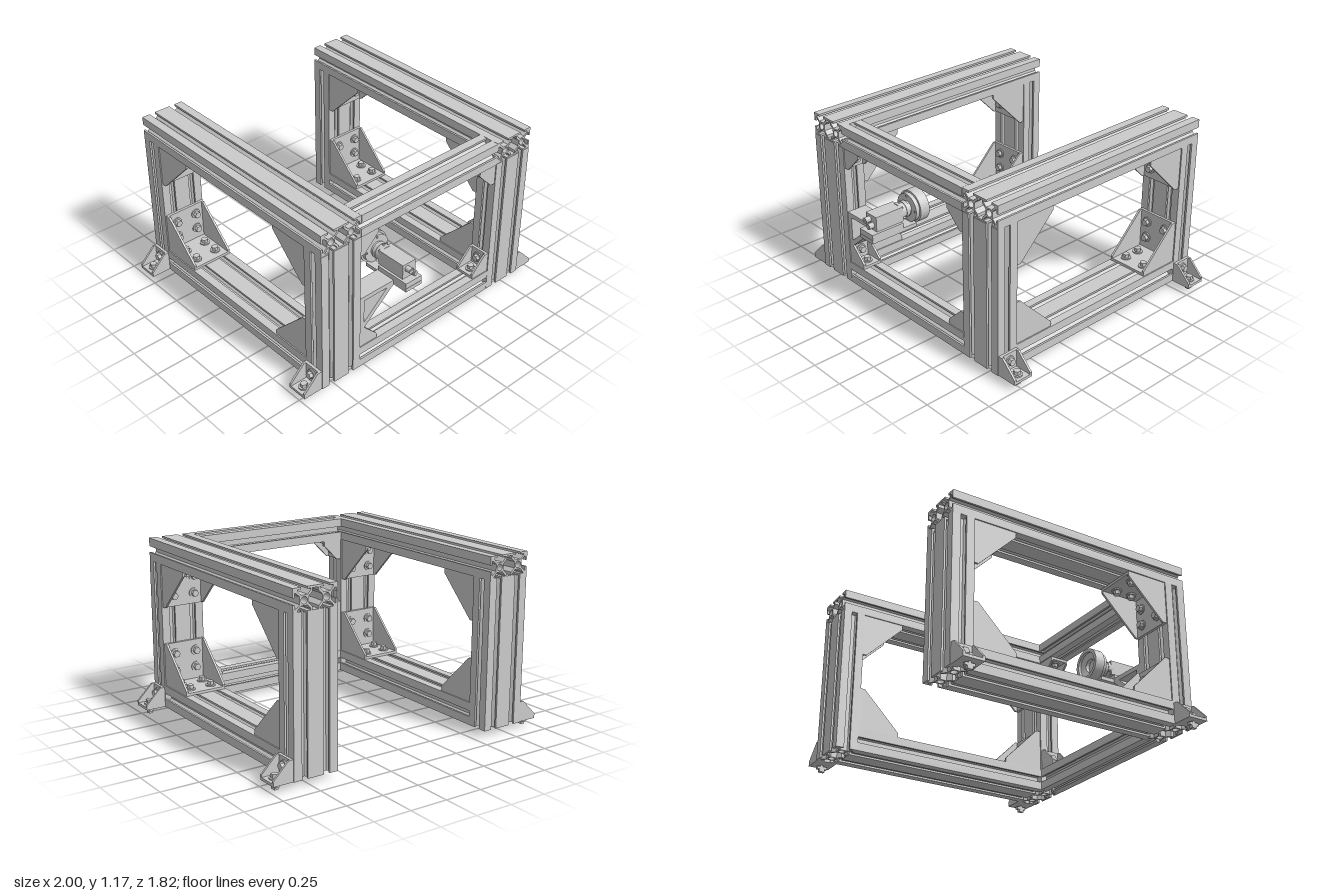
import * as THREE from 'three';
import { toCreasedNormals } from 'three/addons/utils/BufferGeometryUtils.js';

const grey = new THREE.MeshStandardMaterial({ color: 0xcccccc });
const M = 0.15; // profile module
const H = M / 2;

function mesh(parent, name, geometry, x = 0, y = 0, z = 0) {
  const m = new THREE.Mesh(geometry, grey);
  m.name = name;
  m.position.set(x, y, z);
  parent.add(m);
  return m;
}

const polygon = (pts) => new THREE.Shape(pts.map(([x, y]) => new THREE.Vector2(x, y)));
const crease = (g) => toCreasedNormals(g.index ? g.toNonIndexed() : g, 0.6);
const cyl = (r, h, sides = 24) => crease(new THREE.CylinderGeometry(r, r, h, sides));

// extrusion centred along z
function extrude(shape, depth) {
  const g = new THREE.ExtrudeGeometry(shape, { depth, bevelEnabled: false, curveSegments: 6 });
  g.translate(0, 0, -depth / 2);
  return crease(g);
}

// T-slot profile, n modules wide in x
const half = [[0.02, H], [0.02, 0.062], [0.045, 0.062], [0.045, 0.055], [0.022, 0.03]];
const slot = [...half, ...half.map(([x, y]) => [-x, y]).reverse()];
function profile(n, length) {
  const hw = n * H;
  const centres = Array.from({ length: n }, (_, i) => (i - (n - 1) / 2) * M);
  const side = (cx, a) => slot.map(([x, y]) => [
    cx + x * Math.cos(a) - y * Math.sin(a), x * Math.sin(a) + y * Math.cos(a)]);
  const pts = [
    ...side(centres[n - 1], -Math.PI / 2), [hw, H],
    ...[...centres].reverse().flatMap((c) => side(c, 0)), [-hw, H],
    ...side(centres[0], Math.PI / 2), [-hw, -H],
    ...centres.flatMap((c) => side(c, Math.PI)), [hw, -H],
  ];
  const shape = polygon(pts);
  for (const c of centres) shape.holes.push(new THREE.Path().absarc(c, 0, 0.022, 0, Math.PI * 2, true));
  if (n === 2) {
    // cavity between the two cores
    const q = [[0.045, 0.02], [0.02, 0.043], [0.02, 0.062]];
    const top = [...q, ...q.map(([x, y]) => [-x, y]).reverse()];
    shape.holes.push(polygon([...top, ...top.map(([x, y]) => [-x, -y])]));
  }
  return extrude(shape, length);
}

// washer and hexagon head, pointing up +y
function bolt(parent, x, y, z, rz = 0) {
  const g = new THREE.Group();
  g.name = 'bolt';
  g.position.set(x, y, z);
  g.rotation.z = rz;
  mesh(g, 'washer', cyl(0.033, 0.008), 0, 0.004, 0);
  mesh(g, 'boltHead', cyl(0.023, 0.024, 6), 0, 0.02, 0);
  parent.add(g);
}

// corner bracket: legs on +x and +y, two triangular cheeks
function bracket(parent, name, size, width, boltAt, boltZ, pos, ry, quarter) {
  const g = new THREE.Group();
  g.name = name;
  g.position.set(...pos);
  g.rotation.set(0, ry, quarter * Math.PI / 2);
  const t = 0.018, c = 0.032;
  mesh(g, 'floorLeg', new THREE.BoxGeometry(size, t, width), size / 2, t / 2, 0);
  mesh(g, 'wallLeg', new THREE.BoxGeometry(t, size, width), t / 2, size / 2, 0);
  const cheek = extrude(polygon([[0, 0], [size, 0], [size, c], [c, size], [0, size]]), 0.014);
  for (const s of [-1, 1]) mesh(g, 'cheek', cheek, 0, 0, s * (width / 2 - 0.007));
  for (const d of boltAt) for (const z of boltZ) {
    bolt(g, d, t, z);
    bolt(g, t, d, z, -Math.PI / 2);
  }
  parent.add(g);
}

function buildFrame(root) {
  const post = profile(2, 0.975), topBeam = profile(2, 1.71);
  const bottomBeam = profile(2, 1.415), cross = profile(1, 1.128);
  for (const s of [-1, 1]) {
    const x = s * 0.715;
    mesh(root, 'topBeam', topBeam, x, 1.092, -0.05);
    mesh(root, 'bottomBeam', bottomBeam, x, 0.12, -0.0475);
    for (const z of [0.733, -0.83]) {
      mesh(root, 'post', post, x, 0.5325, z).rotation.x = -Math.PI / 2;
      // foot with a hammer-head bolt underneath
      bracket(root, 'foot', 0.135, 0.138, [0.083], [0], [s * 0.865, 0.045, z], 0, s > 0 ? 0 : 1);
      mesh(root, 'footBoltShank', cyl(0.0125, 0.05), s * 0.948, 0.025, z);
      mesh(root, 'footBoltHead', new THREE.BoxGeometry(0.025, 0.018, 0.065), s * 0.948, 0.027, z);
      mesh(root, 'footBoltTip', new THREE.BoxGeometry(0.025, 0.018, 0.036), s * 0.948, 0.009, z);
    }
    // large brackets in the side frames
    const corners = [[-0.755, 0.195, 0], [0.658, 0.195, 1], [0.658, 1.017, 2], [-0.755, 1.017, 3]];
    for (const [z, y, q] of corners) {
      bracket(root, 'sideBracket', 0.287, 0.285, [0.1, 0.215], [-H, H], [x, y, z], -Math.PI / 2, q);
    }
  }
  // front cross beams and their brackets
  for (const y of [0.12, 1.092]) mesh(root, 'crossBeam', cross, 0, y, 0.733).rotation.y = Math.PI / 2;
  for (const [x, y, q] of [[-0.565, 0.195, 0], [0.565, 0.195, 1], [0.565, 1.017, 2], [-0.565, 1.017, 3]]) {
    bracket(root, 'frontBracket', 0.14, 0.138, [0.083], [0], [x, y, 0.733], 0, q);
  }
}

function buildSensor(root) {
  const g = new THREE.Group();
  g.name = 'sensorUnit';
  root.add(g);
  const cx = -0.228, cy = 0.65;

  // triangular support arm on the post
  const arm = polygon([[-0.565, 0.33], [-0.53, 0.33], [-0.29, 0.535], [-0.165, 0.535], [-0.165, 0.565], [-0.565, 0.565]]);
  arm.holes.push(polygon([[-0.53, 0.37], [-0.53, 0.535], [-0.345, 0.535]]));
  mesh(g, 'supportArm', extrude(arm, 0.14), 0, 0, 0.733);

  // cradle under the body
  mesh(g, 'cradle', new THREE.BoxGeometry(0.13, 0.025, 0.35), cx, 0.5475, 0.735);
  mesh(g, 'cradleBlock', new THREE.BoxGeometry(0.13, 0.06, 0.24), cx, 0.566, 0.788);

  // body with cable sockets
  mesh(g, 'body', new THREE.BoxGeometry(0.105, 0.1, 0.21), cx, cy, 0.76);
  for (const [dx, dy] of [[-0.018, 0.016], [0.014, -0.016]]) {
    mesh(g, 'socket', cyl(0.019, 0.04), cx + dx, cy + dy, 0.883).rotation.x = Math.PI / 2;
    mesh(g, 'plug', cyl(0.012, 0.045, 6), cx + dx, cy + dy, 0.883).rotation.x = Math.PI / 2;
  }

  // barrel and hollow ring light
  const outline = [[0, 0.545], [0.045, 0.545], [0.045, 0.52], [0.085, 0.505], [0.085, 0.488], [0.108, 0.488],
    [0.108, 0.558], [0.095, 0.558], [0.095, 0.585], [0.048, 0.585], [0.048, 0.6], [0.055, 0.6],
    [0.055, 0.625], [0.051, 0.625], [0.051, 0.632], [0.055, 0.632], [0.055, 0.67], [0, 0.67]];
  const lathe = new THREE.LatheGeometry(outline.map(([r, z]) => new THREE.Vector2(r, z)), 48);
  mesh(g, 'lensAndRing', crease(lathe), cx, cy, 0).rotation.x = Math.PI / 2;

  // lock screws round the barrel, screws on the ring
  for (let i = 0; i < 3; i++) {
    const a = Math.PI / 2 + i * Math.PI * 2 / 3;
    const screw = mesh(g, 'lockScrew', cyl(0.007, 0.02, 12),
      cx + Math.cos(a) * 0.058, cy + Math.sin(a) * 0.058, 0.645);
    screw.rotation.z = a - Math.PI / 2;
  }
  for (let i = 0; i < 4; i++) {
    const a = i * Math.PI / 2;
    mesh(g, 'ringScrew', cyl(0.007, 0.006, 12),
      cx + Math.cos(a) * 0.082, cy + Math.sin(a) * 0.082, 0.587).rotation.x = Math.PI / 2;
  }
}

export function createModel() {
  const root = new THREE.Group();
  root.name = 'extrusionFrame';
  buildFrame(root);
  buildSensor(root);
  return root;
}
